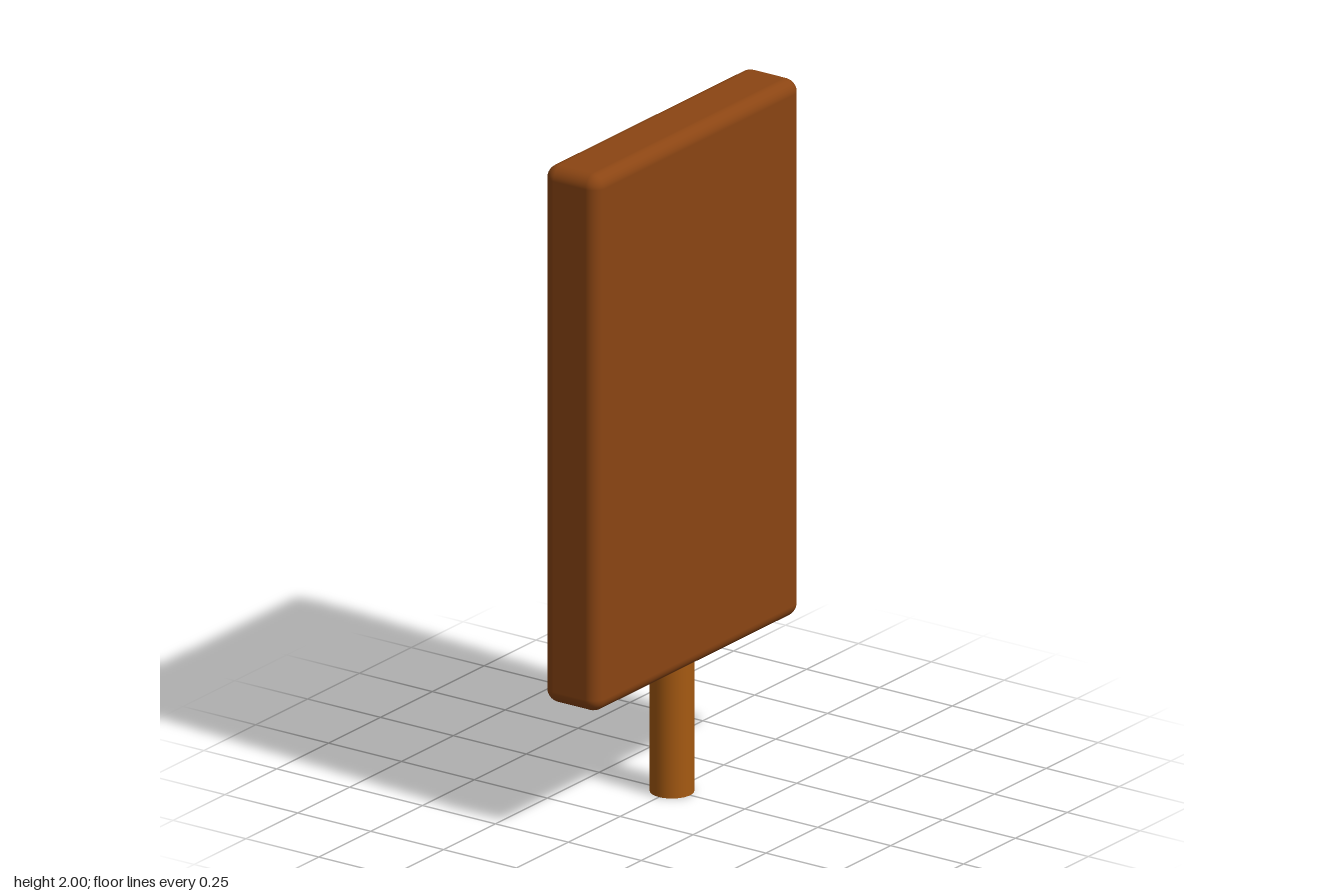
import * as THREE from 'three';
import { RoundedBoxGeometry } from 'three/addons/geometries/RoundedBoxGeometry.js';

const material = (name, color) => {
  const m = new THREE.MeshStandardMaterial({ color });
  m.name = name;
  return m;
};

// Flat patch with a smooth closed outline (x to the viewer's right, y up)
function patch(points, smooth) {
  let outline = points.map(([x, y]) => new THREE.Vector2(x, y));
  if (smooth) {
    const curve = new THREE.CatmullRomCurve3(points.map(([x, y]) => new THREE.Vector3(x, y, 0)), true);
    outline = curve.getPoints(points.length * 4).slice(0, -1).map(p => new THREE.Vector2(p.x, p.y));
  }
  return new THREE.ShapeGeometry(new THREE.Shape(outline));
}

export function createModel() {
  const board = material('board brown', 0x8b4513);
  const wood = material('post wood', 0xa65a12);
  const black = material('figure black', 0x151515);
  const white = material('face white', 0xffffff);

  const model = new THREE.Group();
  model.name = 'paintedSign';
  const add = (parent, name, geometry, mat, y = 0, z = 0) => {
    const mesh = new THREE.Mesh(geometry, mat);
    mesh.name = name;
    mesh.position.set(0, y, z);
    parent.add(mesh);
  };

  // Post and rounded board
  add(model, 'post', new THREE.CylinderGeometry(0.0625, 0.0625, 0.5, 32), wood, 0.25);
  add(model, 'board', new RoundedBoxGeometry(0.99, 1.605, 0.19, 6, 0.04), board, 1.1975);

  // Painting on the back, turned to face -z
  const painting = new THREE.Group();
  painting.name = 'backPainting';
  painting.rotation.y = Math.PI;
  model.add(painting);

  const head = [
    [-0.087, 1.821], [-0.17, 1.743], [-0.212, 1.63], [-0.205, 1.538], [-0.177, 1.471],
    [-0.135, 1.42], [0, 1.39], [0.107, 1.415], [0.142, 1.456], [0.177, 1.515],
    [0.184, 1.611], [0.163, 1.706], [0.114, 1.781], [0.052, 1.827], [-0.024, 1.838],
  ];
  // Body outline: left arm, left leg, right leg, right arm
  const body = [
    [-0.142, 1.417], [-0.232, 1.387], [-0.309, 1.303], [-0.357, 1.203], [-0.392, 1.112],
    [-0.385, 1.07], [-0.336, 1.046], [-0.295, 1.075], [-0.288, 1.14], [-0.274, 1.188],
    [-0.232, 1.243], [-0.17, 1.279], [-0.163, 1.142], [-0.17, 1.04],
    [-0.232, 0.967], [-0.274, 0.9], [-0.274, 0.831], [-0.232, 0.76], [-0.246, 0.719],
    [-0.198, 0.713], [-0.142, 0.728], [-0.142, 0.772], [-0.163, 0.809], [-0.163, 0.86],
    [-0.114, 0.91], [-0.045, 0.942], [0.003, 0.949],
    [0.066, 0.909], [0.107, 0.851], [0.107, 0.788], [0.087, 0.732], [0.128, 0.712],
    [0.177, 0.706], [0.177, 0.75], [0.218, 0.824], [0.218, 0.886], [0.184, 0.94],
    [0.107, 1.027], [0.114, 1.185], [0.121, 1.299],
    [0.177, 1.264], [0.218, 1.181], [0.239, 1.137], [0.218, 1.068], [0.239, 1.037],
    [0.288, 1.037], [0.322, 1.071], [0.329, 1.167], [0.309, 1.25], [0.26, 1.331],
    [0.191, 1.394], [0.128, 1.42],
  ];
  add(painting, 'figureHead', patch(head, true), black, 0, 0.097);
  add(painting, 'figureBody', patch(body, true), black, 0, 0.0965);

  // Slanted eyes
  const eyes = [
    [[-0.121, 1.632], [-0.092, 1.622], [-0.08, 1.6], [-0.045, 1.6], [-0.052, 1.577], [-0.094, 1.575], [-0.121, 1.595]],
    [[0.045, 1.586], [0.075, 1.606], [0.107, 1.62], [0.114, 1.593], [0.073, 1.563]],
  ];
  eyes.forEach(e => add(painting, 'eye', patch(e, true), white, 0, 0.099));

  // Jagged teeth
  const teeth = [
    [[-0.116, 1.55], [-0.096, 1.556], [-0.087, 1.508], [-0.107, 1.508]],
    [[-0.08, 1.512], [-0.038, 1.502], [-0.04, 1.439], [-0.072, 1.448]],
    [[-0.024, 1.5], [0.01, 1.502], [-0.003, 1.442], [-0.024, 1.443]],
    [[0.031, 1.474], [0.073, 1.5], [0.073, 1.475], [0.038, 1.453]],
  ];
  teeth.forEach(t => add(painting, 'tooth', patch(t, false), white, 0, 0.099));

  return model;
}
